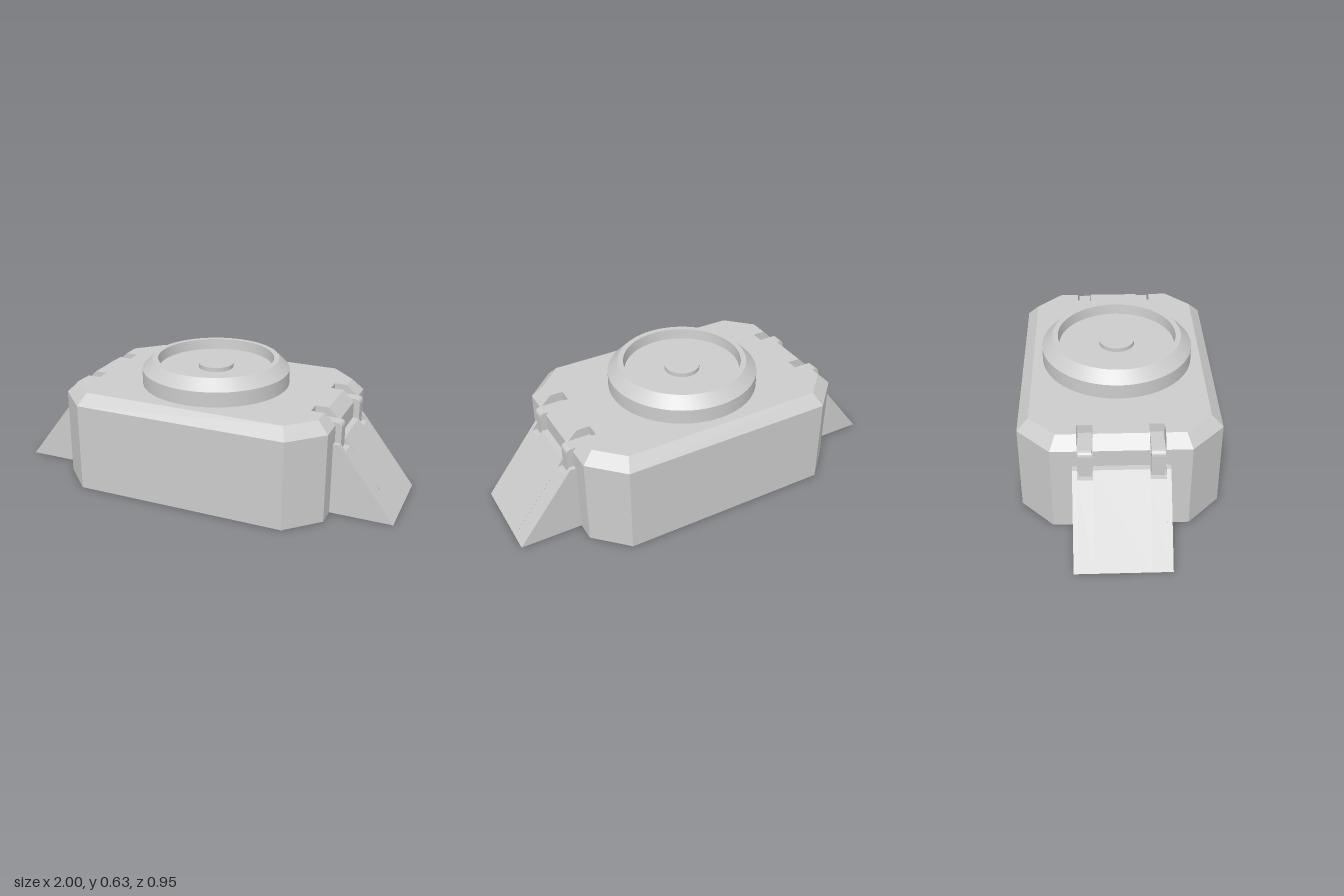
import * as THREE from 'three';
import { toCreasedNormals } from 'three/addons/utils/BufferGeometryUtils.js';

const shell = new THREE.MeshStandardMaterial({ color: 0xcccccc, flatShading: true, side: THREE.DoubleSide });
const smooth = new THREE.MeshStandardMaterial({ color: 0xcccccc, side: THREE.DoubleSide });

// z ranges of the two clamp slots at each end
const SLOT = [0.128, 0.2];

// Collects convex polygons; each is wound to face its outward direction
class Faces {
  constructor() { this.pos = []; }
  add(points, outward) {
    const p = points.map((q) => new THREE.Vector3(...q));
    const normal = p[1].clone().sub(p[0]).cross(p[2].clone().sub(p[0]));
    if (normal.dot(new THREE.Vector3(...outward)) < 0) p.reverse();
    for (let i = 1; i < p.length - 1; i++) {
      for (const v of [p[0], p[i], p[i + 1]]) this.pos.push(v.x, v.y, v.z);
    }
  }
  // Sweeps an (x, y) line along z; the line runs from the inside top outward and down
  sweep(line, s, z0, z1) {
    for (let i = 0; i < line.length - 1; i++) {
      const [a, b] = [line[i], line[i + 1]];
      this.add([[s * a[0], a[1], z0], [s * b[0], b[1], z0], [s * b[0], b[1], z1], [s * a[0], a[1], z1]],
        [s * (a[1] - b[1]), b[0] - a[0], 0]);
    }
  }
  // Flat (x, y) polygon at a given z
  side(outline, s, z, dir) {
    this.add(outline.map(([x, y]) => [s * x, y, z]), [0, 0, dir]);
  }
  mesh(name) {
    const g = new THREE.BufferGeometry();
    g.setAttribute('position', new THREE.Float32BufferAttribute(this.pos, 3));
    g.computeVertexNormals();
    const m = new THREE.Mesh(g, shell);
    m.name = name;
    return m;
  }
}

// Alternates plain and slotted stretches across one end
function slottedSweep(f, s, plain, slotted, cheek, half) {
  const [a, b] = SLOT;
  f.sweep(plain, s, -a, a);
  for (const t of [-1, 1]) {
    f.sweep(slotted, s, t * a, t * b);
    if (half > b) f.sweep(plain, s, t * b, t * half);
    f.side(cheek, s, t * a, t);
    f.side(cheek, s, t * b, -t);
  }
}

// Hollow eight-sided housing, open underneath, with a bevelled top edge
function makeBody() {
  const f = new Faces();
  const top = 0.5, bevel = 0.445;
  f.add([[0.51, top, 0.42], [0.57, top, 0.36], [0.57, top, -0.36], [0.51, top, -0.42],
    [-0.51, top, -0.42], [-0.57, top, -0.36], [-0.57, top, 0.36], [-0.51, top, 0.42]], [0, 1, 0]);
  for (const t of [-1, 1]) {
    // long sides
    f.add([[-0.535, 0, t * 0.475], [0.535, 0, t * 0.475], [0.535, bevel, t * 0.475], [-0.535, bevel, t * 0.475]], [0, 0, t]);
    f.add([[-0.535, bevel, t * 0.475], [0.535, bevel, t * 0.475], [0.51, top, t * 0.42], [-0.51, top, t * 0.42]], [0, 1, t]);
    for (const s of [-1, 1]) {
      const low = [s * 0.535, bevel, t * 0.475], out = [s * 0.69, bevel, t * 0.32];
      // cut corners
      f.add([[low[0], 0, low[2]], [out[0], 0, out[2]], out, low], [s, 0, t]);
      f.add([low, out, [s * 0.635, top, t * 0.295], [s * 0.51, top, t * 0.42]], [s, 1, t]);
      // end pieces outside the slots
      const z = t * SLOT[1];
      f.add([[s * 0.57, top, z], [s * 0.635, top, z], [s * 0.635, top, t * 0.295], [s * 0.57, top, t * 0.36]], [0, 1, 0]);
      f.add([[s * 0.635, top, z], [s * 0.69, bevel, z], out, [s * 0.635, top, t * 0.295]], [s, 1, 0]);
      f.add([[s * 0.69, 0, z], [s * 0.69, bevel, z], out, [out[0], 0, out[2]]], [s, 0, 0]);
    }
  }
  for (const s of [-1, 1]) {
    slottedSweep(f, s,
      [[0.57, 0.5], [0.635, 0.5], [0.69, bevel], [0.69, 0]],
      [[0.57, 0.5], [0.57, 0.425], [0.69, 0.425], [0.69, 0]],
      [[0.57, 0.425], [0.57, 0.5], [0.635, 0.5], [0.69, bevel], [0.69, 0.425]], SLOT[1]);
  }
  return f.mesh('body');
}

// Hollow sloped ramp, open underneath, with two slots in its top edge
function makeRamp(s) {
  const f = new Faces();
  const half = 0.222, back = 0.688;
  slottedSweep(f, s,
    [[back, 0.36], [0.72, 0.36], [1, 0]],
    [[back, 0.325], [0.747, 0.325], [1, 0]],
    [[back, 0.325], [back, 0.36], [0.72, 0.36], [0.747, 0.325]], half);
  for (const t of [-1, 1]) f.side([[back, 0], [back, 0.36], [0.72, 0.36], [1, 0]], s, t * half, t);
  f.add([[s * back, 0, -half], [s * back, 0.36, -half], [s * back, 0.36, half], [s * back, 0, half]], [-s, 0, 0]);
  return f.mesh(s > 0 ? 'leftRamp' : 'rightRamp');
}

// Rounded hook that runs out of a body slot and down into a ramp slot
function makeClamp(s, z) {
  const p = new THREE.Shape();
  p.moveTo(0.572, 0.425);
  p.lineTo(0.69, 0.425);
  p.lineTo(0.69, 0.325);
  p.lineTo(0.72, 0.325);
  p.lineTo(0.72, 0.43);
  p.quadraticCurveTo(0.72, 0.457, 0.693, 0.457);
  p.lineTo(0.572, 0.457);
  p.closePath();
  const g = new THREE.ExtrudeGeometry(p, { depth: 0.062, bevelEnabled: false, curveSegments: 5 });
  g.translate(0, 0, -0.031);
  if (s < 0) g.rotateY(Math.PI);
  const m = new THREE.Mesh(g, shell);
  m.position.z = z;
  m.name = 'clamp';
  return m;
}

function turned(name, profile) {
  const lathe = new THREE.LatheGeometry(profile.map(([r, y]) => new THREE.Vector2(r, y)), 64);
  const m = new THREE.Mesh(toCreasedNormals(lathe, 0.4), smooth);
  m.name = name;
  return m;
}

export function createModel() {
  const model = new THREE.Group();
  model.name = 'device';
  model.add(makeBody());
  for (const s of [-1, 1]) {
    model.add(makeRamp(s));
    for (const t of [-1, 1]) model.add(makeClamp(s, t * 0.163));
  }
  // Raised ring with a recessed floor, and the button in its middle
  model.add(turned('topRing', [[0.373, 0.5], [0.373, 0.575], [0.32, 0.628], [0.293, 0.628], [0.288, 0.575], [0, 0.575]]));
  model.add(turned('centerButton', [[0.087, 0.575], [0.087, 0.596], [0, 0.596]]));
  return model;
}
